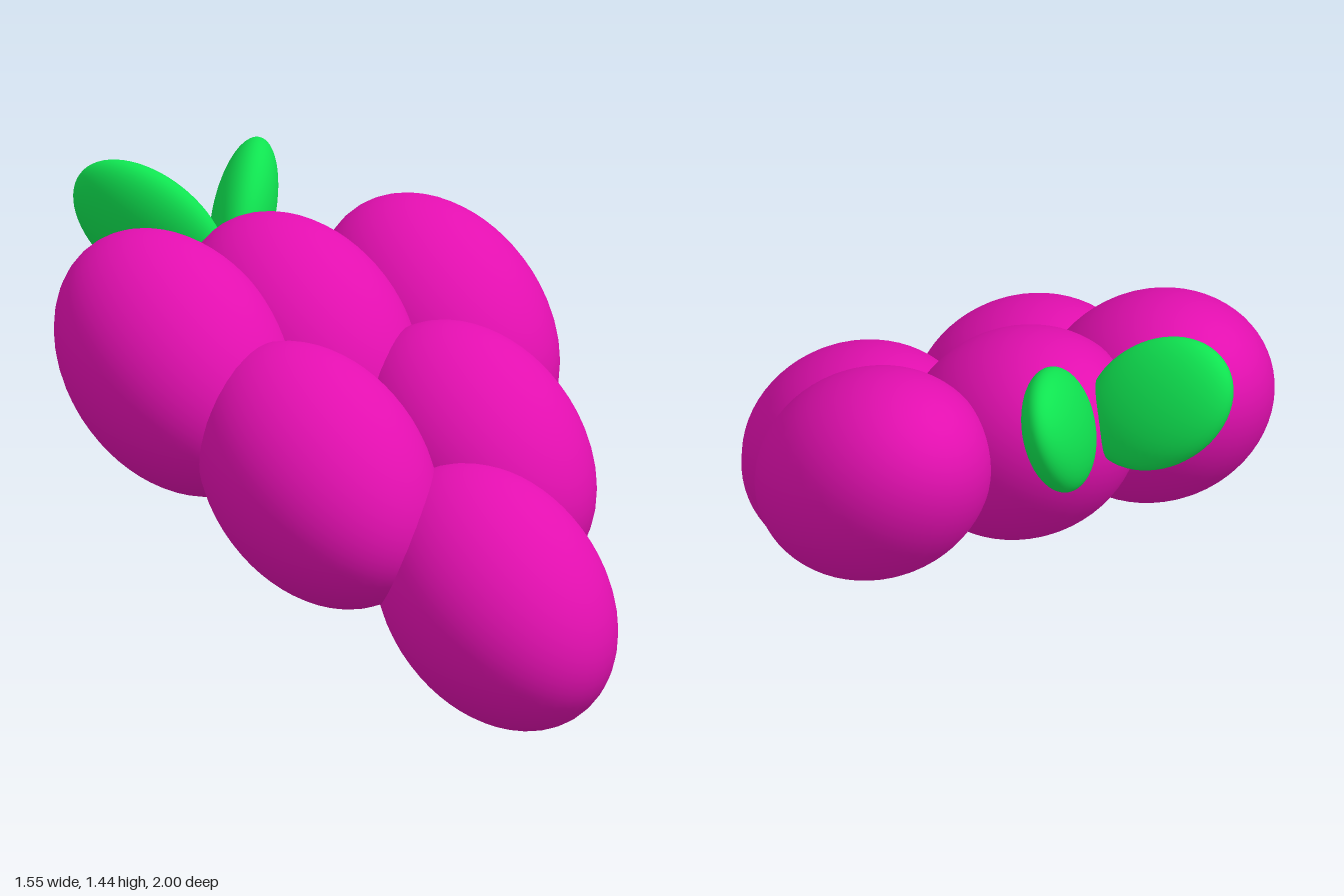
import * as THREE from 'three';

export function createModel() {
  const group = new THREE.Group();
  const berryMat = new THREE.MeshStandardMaterial({ color: 0xe30fb0 });
  berryMat.name = 'berry magenta';
  const leafMat = new THREE.MeshStandardMaterial({ color: 0x0fe350 });
  leafMat.name = 'leaf green';
  const sphere = new THREE.SphereGeometry(1, 48, 32);

  // Stretched sphere used for every part
  function ellipsoid(name, material, position, radii) {
    const mesh = new THREE.Mesh(sphere, material);
    mesh.name = name;
    mesh.position.set(...position);
    mesh.scale.set(...radii);
    group.add(mesh);
    return mesh;
  }

  // Berries in three rows of 1, 2 and 3, rising towards the back
  const rows = [
    { name: 'frontBerry', y: 0.363, z: 0.6, xs: [0] },
    { name: 'middleBerry', y: 0.683, z: 0.17, xs: [-0.32, 0.225] },
    { name: 'backBerry', y: 0.942, z: -0.345, xs: [-0.455, -0.022, 0.455] },
  ];
  for (const { name, y, z, xs } of rows) {
    xs.forEach((x, i) => {
      const berry = ellipsoid(`${name}${i + 1}`, berryMat, [x, y, z], [0.32, 0.303, 0.446]);
      berry.rotation.x = THREE.MathUtils.degToRad(37);
    });
  }

  // Two flattened leaves spreading up, back and outwards
  function leaf(name, position, along, normal) {
    const mesh = ellipsoid(name, leafMat, position, [0.18, 0.256, 0.09]);
    const y = new THREE.Vector3(...along).normalize();
    const x = y.clone().cross(new THREE.Vector3(...normal)).normalize();
    const z = x.clone().cross(y);
    mesh.quaternion.setFromRotationMatrix(new THREE.Matrix4().makeBasis(x, y, z));
  }
  leaf('rightLeaf', [-0.225, 1.228, -0.803], [-0.55, 0.6, -0.58], [-0.83, -0.315, 0.466]);
  leaf('leftLeaf', [0.1, 1.235, -0.805], [0.575, 0.58, -0.575], [0.79, -0.2, 0.575]);

  return group;
}
